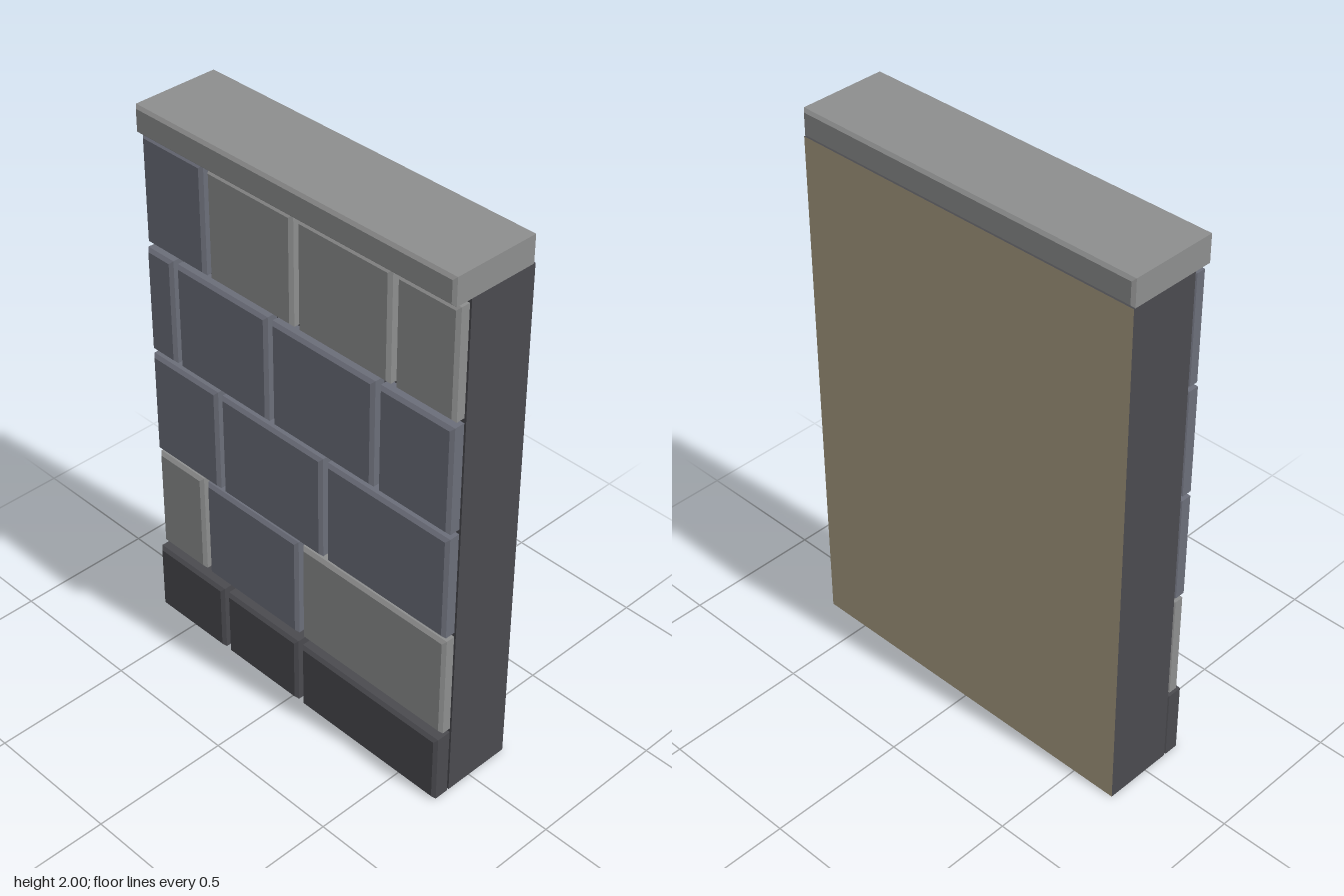
import * as THREE from 'three';

const paint = (name, color) => {
  const m = new THREE.MeshStandardMaterial({ color });
  m.name = name;
  return m;
};

// Box with its front and back edges chamfered
function chamferedBlock(x0, x1, y0, y1, z0, z1, bevel) {
  const s = new THREE.Shape();
  s.moveTo(x0, y0);
  s.lineTo(x1, y0);
  s.lineTo(x1, y1);
  s.lineTo(x0, y1);
  s.closePath();
  const g = new THREE.ExtrudeGeometry(s, {
    depth: z1 - z0 - 2 * bevel,
    bevelEnabled: true, bevelSegments: 1,
    bevelSize: bevel, bevelThickness: bevel, bevelOffset: -bevel,
  });
  g.translate(0, 0, z0 + bevel);
  return g;
}

export function createModel() {
  const grey = paint('light grey stone', 0x8d8e8e);
  const blue = paint('blue grey stone', 0x6b6e79);
  const dark = paint('dark stone', 0x4a4a4f);
  const tan = paint('tan plaster', 0xa89c82);

  const wall = new THREE.Group();
  wall.name = 'stoneWall';
  const add = (name, geometry, material, parent = wall) => {
    const m = new THREE.Mesh(geometry, material);
    m.name = name;
    parent.add(m);
    return m;
  };

  const W = 0.665, FACE = 0.095, GAP = 0.011;

  // Core slab with a plastered back
  const core = add('core', new THREE.BoxGeometry(2 * W, 1.903, 0.258),
    [dark, dark, dark, dark, dark, tan]);
  core.position.set(0, 0.9515, -0.034);

  // Facing stones: each course has its joints and one colour per stone
  const courses = [
    { y: [0, 0.263], z: 0.166, joints: [-0.328, 0.037], colors: [dark, dark, dark] },
    { y: [0.28, 0.67], z: 0.146, joints: [-0.437, 0.021], colors: [grey, blue, grey] },
    { y: [0.687, 1.077], z: 0.151, joints: [-0.343, 0.14], colors: [blue, blue, blue] },
    { y: [1.095, 1.485], z: 0.151, joints: [-0.534, -0.1, 0.359], colors: [blue, blue, blue, blue] },
    { y: [1.503, 1.893], z: 0.146, joints: [-0.379, 0.012, 0.416], colors: [blue, grey, grey, grey] },
  ];
  courses.forEach(({ y, z, joints, colors }, row) => {
    const course = new THREE.Group();
    course.name = row === 0 ? 'plinthCourse' : `course${row}`;
    wall.add(course);
    const edges = [-W - GAP, ...joints, W + GAP];
    colors.forEach((color, i) => add(`stone${i + 1}`,
      chamferedBlock(edges[i] + GAP, edges[i + 1] - GAP, y[0], y[1], FACE - 0.003, z, 0.011),
      color, course));
  });

  // Coping along the top
  add('coping', chamferedBlock(-W, W, 1.903, 2, -0.167, 0.166, 0.01), grey);

  return wall;
}
